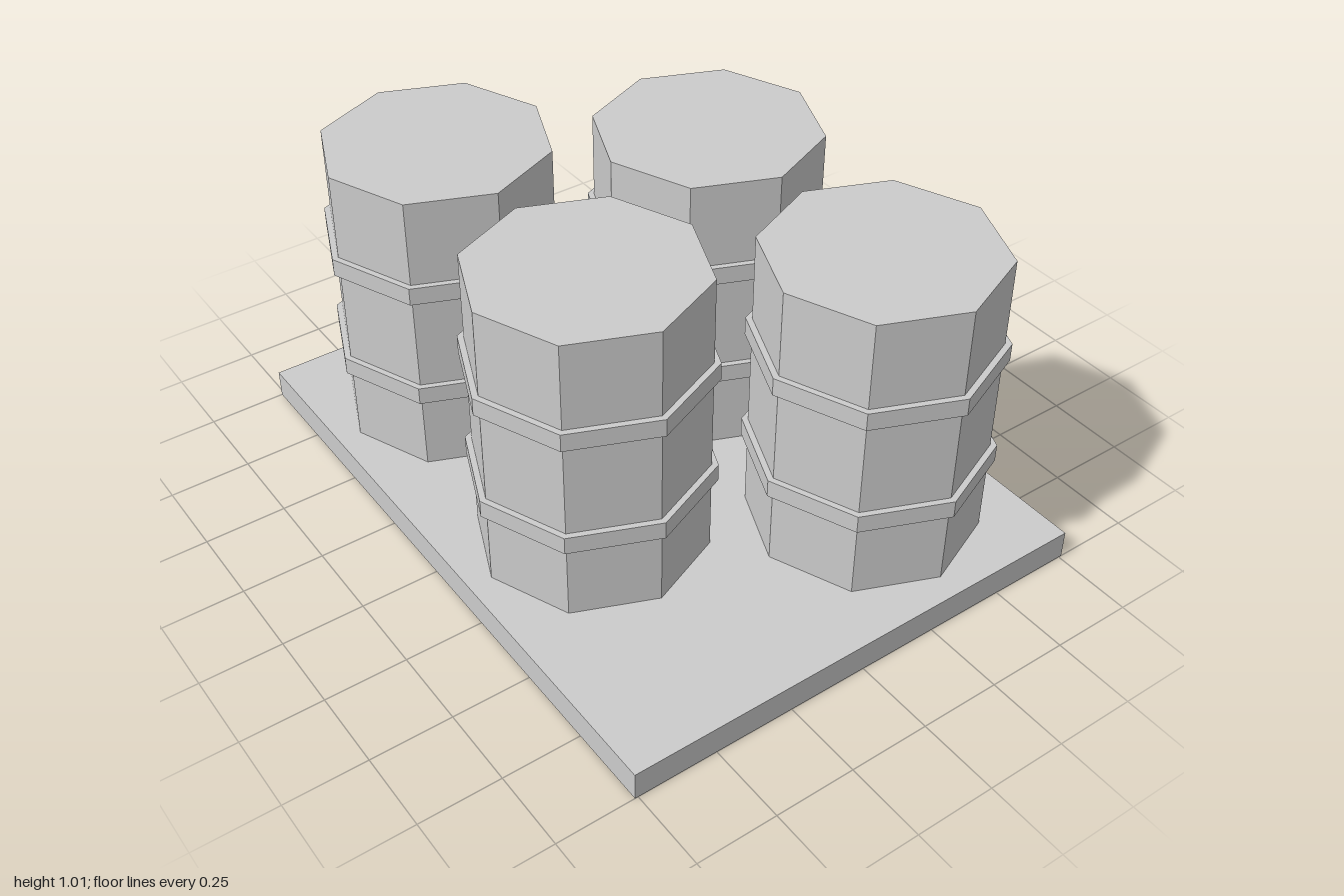
import * as THREE from 'three';

export function createModel() {
  const model = new THREE.Group();
  const grey = new THREE.MeshStandardMaterial({ color: 0xcccccc });
  grey.name = 'lightGrey';
  grey.flatShading = true;

  const BASE_H = 0.09, TOP = 1.015, SIDES = 8;

  // Flat slab carrying the barrels
  const base = new THREE.Mesh(new THREE.BoxGeometry(2, BASE_H, 1.52), grey);
  base.name = 'base';
  base.position.y = BASE_H / 2;
  model.add(base);

  // Octagonal prism standing between two heights
  function prism(name, radius, bottom, top) {
    const mesh = new THREE.Mesh(new THREE.CylinderGeometry(radius, radius, top - bottom, SIDES), grey);
    mesh.name = name;
    mesh.position.y = (bottom + top) / 2;
    return mesh;
  }

  // Barrel with two raised hoops
  function barrel(x, z) {
    const group = new THREE.Group();
    group.name = 'barrel';
    group.add(
      prism('barrelBody', 0.343, BASE_H, TOP),
      prism('lowerHoop', 0.362, 0.332, 0.388),
      prism('upperHoop', 0.362, 0.69, 0.746)
    );
    group.position.set(x, 0, z);
    return group;
  }

  // Two staggered rows
  for (const [x, z] of [[-0.583, 0.344], [0.193, 0.344], [-0.196, -0.344], [0.58, -0.344]]) {
    model.add(barrel(x, z));
  }
  return model;
}
